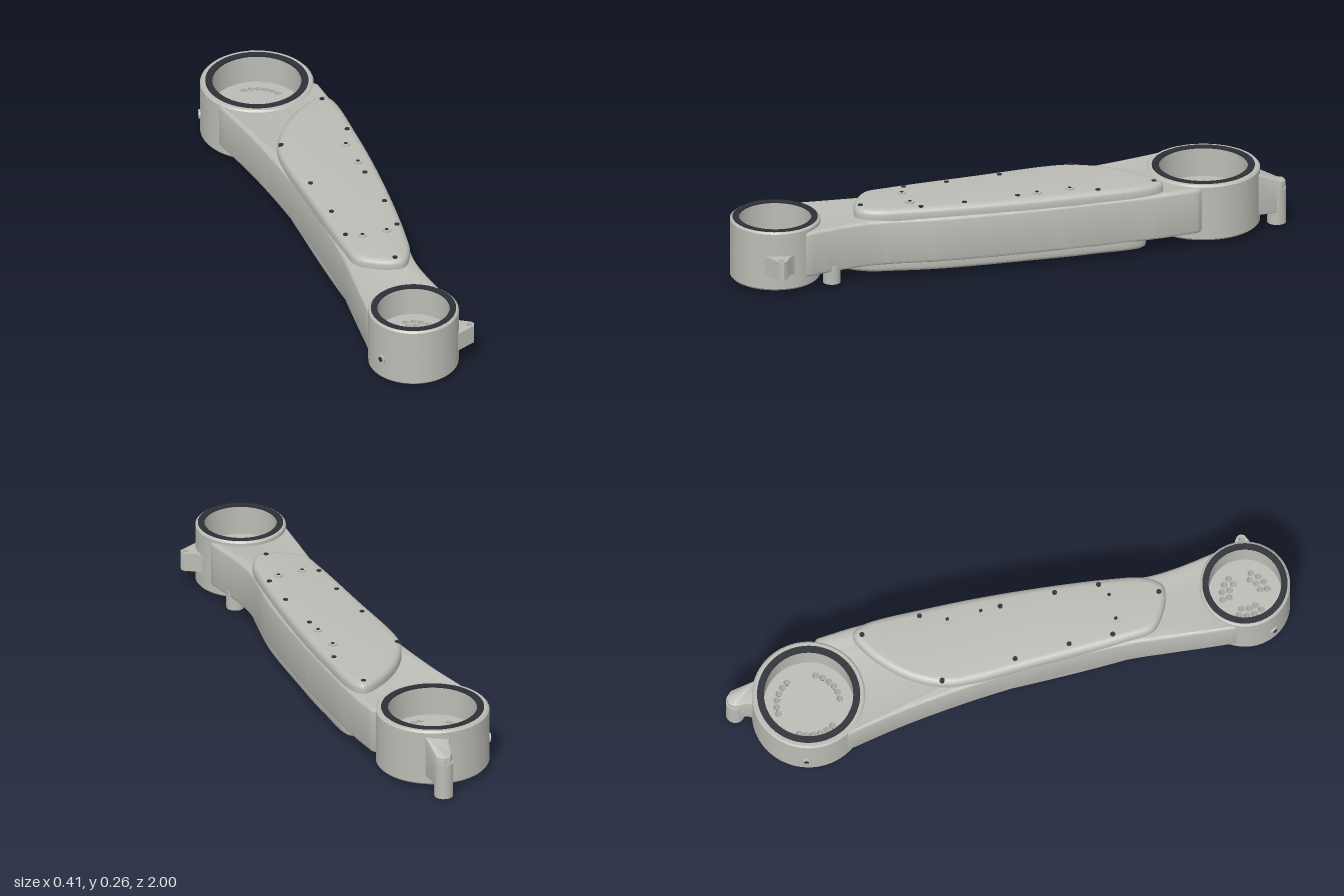
import * as THREE from 'three';
import { toCreasedNormals } from 'three/addons/utils/BufferGeometryUtils.js';

const paint = (name, color) => {
  const m = new THREE.MeshStandardMaterial({ color });
  m.name = name;
  return m;
};
const V = (x, z) => new THREE.Vector2(x, -z); // plan point, given as x and z

// Smooth plan curve through [x, z] points
function spline(pts, closed, n) {
  const c = new THREE.CatmullRomCurve3(pts.map(([x, z]) => new THREE.Vector3(x, -z, 0)), closed, 'centripetal');
  const out = c.getPoints(n).map((p) => new THREE.Vector2(p.x, p.y));
  if (closed) out.pop();
  return out;
}

// Plan outline extruded upwards from y0 to y1, with rounded edges inside the outline
function slab(shape, y0, y1, edge = 0, rise = edge) {
  const g = new THREE.ExtrudeGeometry(shape, {
    depth: y1 - y0 - 2 * rise, curveSegments: 16, bevelEnabled: edge > 0,
    bevelSize: edge, bevelThickness: rise, bevelOffset: -edge, bevelSegments: 3,
  });
  g.translate(0, 0, rise).rotateX(-Math.PI / 2).translate(0, y0, 0);
  return toCreasedNormals(g, 0.6);
}

// Closed [radius, y] profile turned about the vertical axis
function turned(profile) {
  const pts = [...profile, profile[0]].map(([r, y]) => new THREE.Vector2(r, y));
  return toCreasedNormals(new THREE.LatheGeometry(pts, 72), 0.6);
}

export function createModel() {
  const model = new THREE.Group();
  model.name = 'robotArmLink';
  const body = paint('warm grey casting', 0xbcbcb6);
  const dark = paint('dark seal', 0x2c3036);
  const steel = paint('screw grey', 0xa4a49e);

  const add = (name, geometry, material, x = 0, y = 0, z = 0, parent = model) => {
    const m = new THREE.Mesh(geometry, material);
    m.name = name;
    m.position.set(x, y, z);
    parent.add(m);
    return m;
  };
  const rod = (r, h, n = 24) => new THREE.CylinderGeometry(r, r, h, n);

  const big = { x: -0.005, z: -0.723, R: 0.197, Ri: 0.157, seal: 0.179, top: 0.217, floor: 0.11 };
  const small = { x: -0.005, z: 0.843, R: 0.157, Ri: 0.128, seal: 0.148, top: 0.228, floor: 0.12 };

  // Screw hole patterns: three groups around each joint floor
  const bigHoles = [], smallHoles = [];
  for (const mid of [60, 180, 300]) {
    for (let i = 0; i < 6; i++) bigHoles.push([0.111, mid + (i - 2.5) * 13]);
    for (let i = 0; i < 3; i++) smallHoles.push([0.055, mid + (i - 1) * 27]);
    for (let i = 0; i < 4; i++) smallHoles.push([0.08, mid + (i - 1.5) * 20]);
  }

  // Hollow joint housings
  function housing(name, d, holes) {
    const g = new THREE.Group();
    g.name = name;
    g.position.set(d.x, 0, d.z);
    model.add(g);
    const { R, Ri, top } = d;
    add(name + 'Wall', turned([[R - 0.005, 0.012], [R, 0.018], [R, top - 0.006], [R - 0.006, top],
      [Ri, top], [Ri, 0.035], [R - 0.02, 0.035], [R - 0.02, 0.012]]), body, 0, 0, 0, g);
    add(name + 'Seal', turned([[d.seal, top - 0.003], [d.seal, top + 0.002], [Ri - 0.002, top + 0.002],
      [Ri - 0.002, top - 0.003]]), dark, 0, 0, 0, g);
    const disc = new THREE.Shape().absarc(0, 0, Ri + 0.005, 0, Math.PI * 2);
    for (const [r, deg] of holes) {
      const a = THREE.MathUtils.degToRad(deg);
      disc.holes.push(new THREE.Path().absarc(r * Math.cos(a), r * Math.sin(a), 0.0115, 0, Math.PI * 2));
    }
    add(name + 'Floor', slab(disc, 0.05, d.floor), body, 0, 0, 0, g);
    add(name + 'Hub', rod(0.03, 0.03), body, 0, 0.04, 0, g);
    add(name + 'HubRing', turned([[0.045, 0.04], [0.045, 0.055], [0.037, 0.055], [0.037, 0.04]]), steel, 0, 0, 0, g);
  }
  housing('largeJoint', big, bigHoles);
  housing('smallJoint', small, smallHoles);

  // Arm casting, its ends cut to follow the housings
  const arc = (d, r, from, to) => Array.from({ length: 25 }, (_, i) => {
    const a = THREE.MathUtils.degToRad(from + (to - from) * i / 24);
    return V(d.x + r * Math.cos(a), d.z + r * Math.sin(a));
  });
  const armOutline = [
    ...arc(big, 0.175, 165, 15),
    ...spline([[0.192, -0.64], [0.2, -0.5], [0.195, -0.24], [0.18, 0.03], [0.155, 0.29],
      [0.125, 0.45], [0.116, 0.54], [0.122, 0.64], [0.141, 0.77]], false, 50),
    ...arc(small, 0.138, -15, -165),
    ...spline([[-0.149, 0.77], [-0.137, 0.65], [-0.125, 0.54], [-0.111, 0.4], [-0.106, 0.13],
      [-0.116, -0.13], [-0.143, -0.4], [-0.18, -0.62]], false, 50),
  ];
  add('armCasting', slab(new THREE.Shape(armOutline), 0.045, 0.211, 0.012), body);

  // Upper and lower covers
  const upper = [[0.16, -0.52], [0.085, -0.49], [-0.02, -0.4], [-0.085, -0.3], [-0.108, -0.22], [-0.106, 0.1],
    [-0.1, 0.4], [-0.09, 0.49], [-0.05, 0.53], [0.02, 0.565], [0.065, 0.565], [0.105, 0.51], [0.13, 0.4],
    [0.17, 0.08], [0.19, -0.24], [0.186, -0.49]];
  const lower = [[0.178, -0.45], [0.19, -0.25], [0.175, 0], [0.15, 0.28], [0.115, 0.45], [0.09, 0.54],
    [0.03, 0.61], [-0.04, 0.61], [-0.088, 0.55], [-0.1, 0.4], [-0.1, 0], [-0.09, -0.2], [-0.03, -0.36], [0.05, -0.43]];
  add('upperCover', slab(new THREE.Shape(spline(upper, true, 110)), 0.185, 0.247, 0.022, 0.018), body);
  add('lowerCover', slab(new THREE.Shape(spline(lower, true, 110)), 0.013, 0.07, 0.018, 0.014), body);

  // Cover screws
  const darkScrews = [[0.15, -0.49], [0.165, -0.28], [0.127, 0], [-0.085, -0.265], [-0.074, 0], [-0.069, 0.195],
    [0.127, 0.195], [-0.074, 0.35], [0.116, 0.35], [0.037, 0.545]];
  const lightScrews = [[0.127, -0.19], [0.127, -0.07], [-0.021, 0.375], [0.069, 0.375]];
  for (const [x, z] of darkScrews) add('coverScrew', rod(0.009, 0.012, 12), dark, x, 0.243, z);
  for (const [x, z] of lightScrews) {
    add('coverBoss', rod(0.016, 0.012, 20), body, x, 0.246, z);
    add('coverBossSocket', rod(0.007, 0.002, 6), dark, x, 0.252, z);
  }
  for (const [x, z] of [[0.155, -0.41], [0.16, -0.18], [0.14, 0.1], [0.11, 0.36], [0.01, 0.575], [-0.07, 0.42],
    [-0.075, 0.13], [-0.065, -0.16], [0.03, -0.39]]) add('lowerCoverScrew', rod(0.01, 0.01, 12), steel, x, 0.016, z);

  // Rear stop lug with its pin
  const lug = [[0.0, -0.885], [0.03, -0.93], [0.04, -0.975], [0.055, -0.995], [0.08, -0.995], [0.098, -0.975],
    [0.1, -0.88]].map(([x, z]) => V(x, z));
  const lugGeometry = slab(new THREE.Shape(lug), 0.045, 0.2, 0.004);
  const p = lugGeometry.attributes.position;
  for (let i = 0; i < p.count; i++) { // slope the top down towards the tip
    if (p.getY(i) > 0.1) p.setY(i, p.getY(i) - Math.min(0.04, Math.max(0, -0.9 - p.getZ(i)) * 0.6));
  }
  add('rearLug', toCreasedNormals(lugGeometry, 0.6), body);
  add('rearLugPin', rod(0.033, 0.13), body, 0.067, 0.065, -0.967);
  add('rearLugSocket', rod(0.017, 0.004), dark, 0.067, 0.001, -0.967).position.y = 0.002 - 0.0025;

  // Stop pin under the neck
  add('neckPin', rod(0.031, 0.07), body, 0.097, 0.035, 0.67);
  add('neckPinSocket', rod(0.016, 0.004), dark, 0.097, 0.0015, 0.67).position.y = -0.0005;

  // Side bracket with an eye
  const bracket = new THREE.Shape([[0.135, 0.8], [0.165, 0.845], [0.2, 0.868], [0.205, 0.88], [0.2, 0.895],
    [0.165, 0.91], [0.13, 0.925]].map(([x, z]) => V(x, z)));
  bracket.holes.push(new THREE.Path().absarc(0.187, -0.882, 0.01, 0, Math.PI * 2));
  add('sideBracket', slab(bracket, 0.072, 0.14), body);

  // Cable plugs on the housing walls
  for (const [d, deg, y] of [[big, 197, 0.085], [small, 155, 0.09]]) {
    const a = THREE.MathUtils.degToRad(deg);
    const plug = new THREE.Group();
    plug.name = 'sidePlug';
    plug.position.set(d.x + d.R * Math.cos(a), y, d.z + d.R * Math.sin(a));
    plug.rotation.y = -a;
    model.add(plug);
    add('plugCollar', rod(0.017, 0.012, 20), body, 0, 0, 0, plug).rotation.z = -Math.PI / 2;
    add('plugSocket', rod(0.009, 0.002, 12), dark, 0.0065, 0, 0, plug).rotation.z = -Math.PI / 2;
  }
  return model;
}
